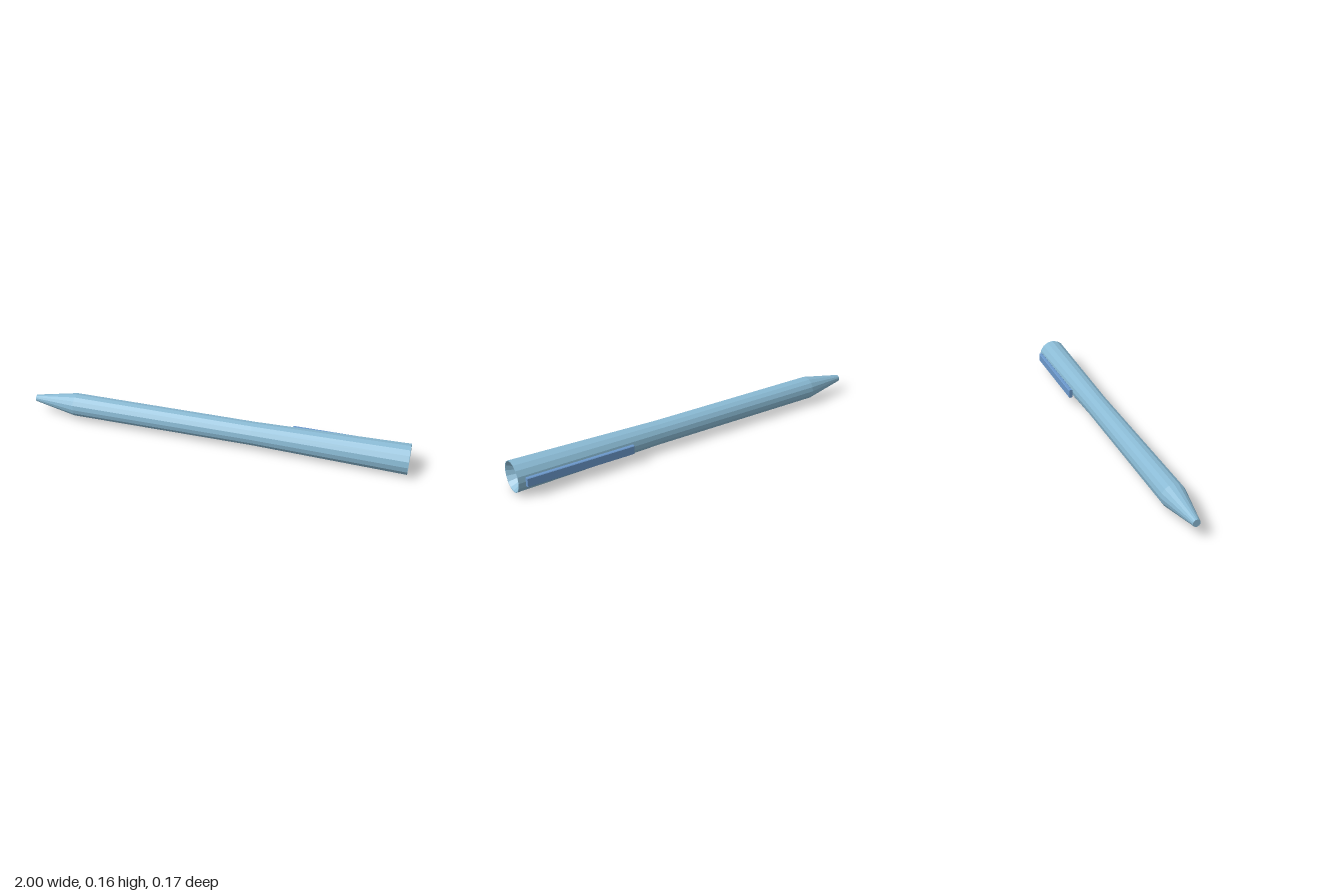
import * as THREE from 'three';

export function createModel() {
  const bodyBlue = new THREE.MeshStandardMaterial({ color: 0x8abad4, flatShading: true });
  bodyBlue.name = 'light blue';
  const clipBlue = new THREE.MeshStandardMaterial({ color: 0x6c99cc, flatShading: true });
  clipBlue.name = 'mid blue';

  const pen = new THREE.Group();
  pen.name = 'pen';

  // Barrel: tip, straight shaft, flared end and hollow socket, as one lathe [x, radius]
  const profile = [
    [-1, 0], [-1, 0.018], [-0.765, 0.0615], [0.21, 0.0615], [1, 0.0785],
    [1, 0.075], [0.96, 0.052], [0.8, 0.044], [0.8, 0],
  ].map(([x, r]) => new THREE.Vector2(r, x));
  const barrel = new THREE.Mesh(new THREE.LatheGeometry(profile, 16), bodyBlue);
  barrel.name = 'barrel';
  barrel.rotation.z = -Math.PI / 2;
  barrel.position.set(0, 0.0785, 0.0085);
  pen.add(barrel);

  // Clip: thin chamfered bar along the back
  const x0 = 0.4, x1 = 0.965, halfHeight = 0.023, bevel = 0.003, depth = 0.02;
  const w = (x1 - x0) / 2 - bevel, h = halfHeight - bevel;
  const outline = new THREE.Shape([
    new THREE.Vector2(-w, -h), new THREE.Vector2(w, -h),
    new THREE.Vector2(w, h), new THREE.Vector2(-w, h),
  ]);
  const clipGeometry = new THREE.ExtrudeGeometry(outline, {
    depth: depth - 2 * bevel, bevelSize: bevel, bevelThickness: bevel, bevelSegments: 1,
  });
  const clip = new THREE.Mesh(clipGeometry, clipBlue);
  clip.name = 'clip';
  clip.position.set((x0 + x1) / 2, 0.0795, -0.087 + bevel);
  pen.add(clip);

  return pen;
}
